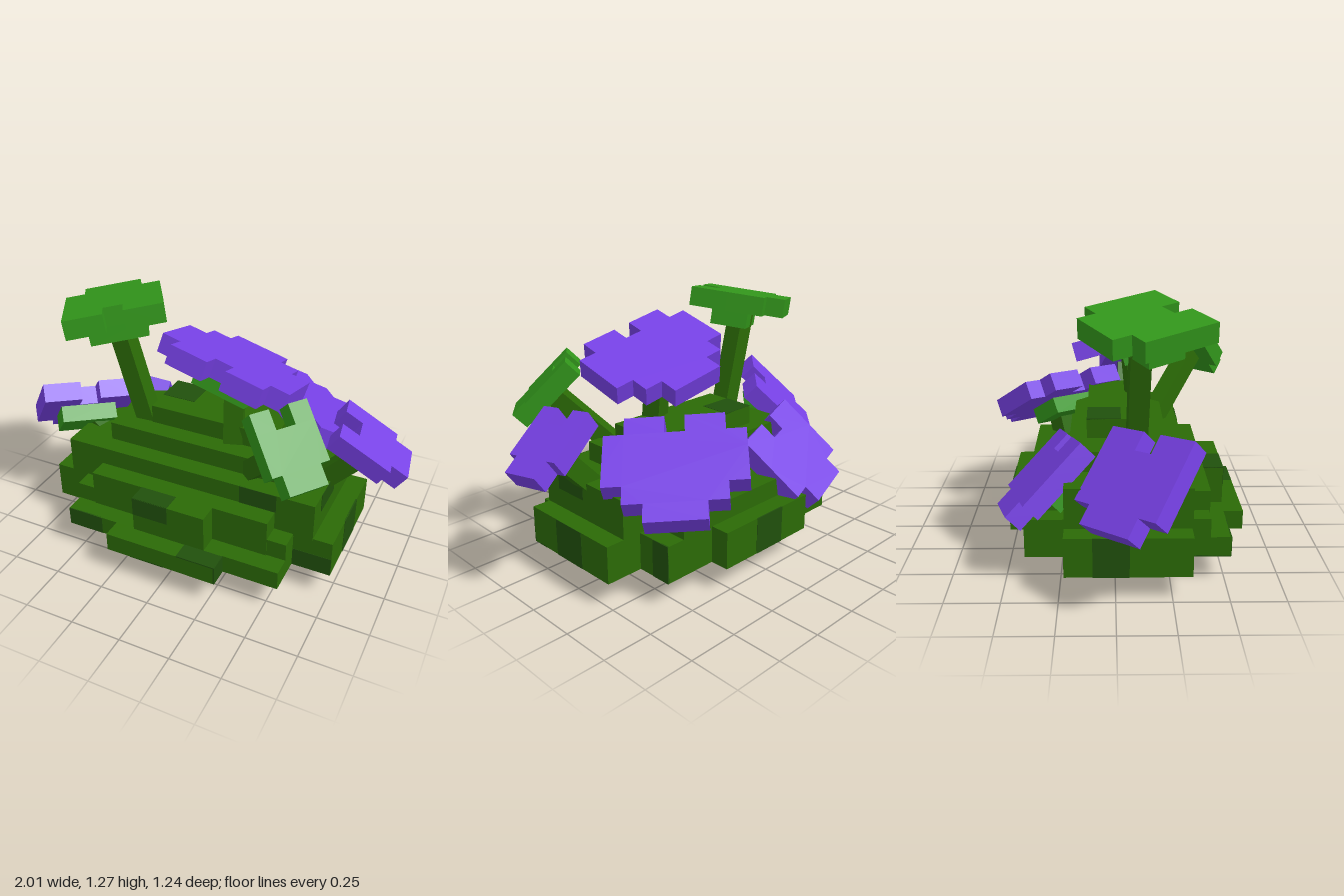
import * as THREE from 'three';

const V = 0.093; // voxel size

export function createModel() {
  const root = new THREE.Group();
  const mat = (name, color) => {
    const m = new THREE.MeshStandardMaterial({ color });
    m.name = name;
    return m;
  };
  const moss = mat('moss green', 0x2b6a06);
  const dark = mat('dark moss', 0x20500c);
  const green = mat('leaf green', 0x32961b);
  const purple = mat('petal purple', 0x7640e4);

  const box = (name, m, [x0, x1, y0, y1, z0, z1], parent) => {
    const mesh = new THREE.Mesh(new THREE.BoxGeometry(x1 - x0, y1 - y0, z1 - z0), m);
    mesh.position.set((x0 + x1) / 2, (y0 + y1) / 2, (z0 + z1) / 2);
    mesh.name = name;
    parent.add(mesh);
  };

  // Stepped mound, built as overlapping blocks
  const mound = new THREE.Group();
  mound.name = 'mound';
  root.add(mound);
  [
    [-0.745, 0.75, 0.115, 0.3, -0.225, 0.335],
    [-0.56, 0.56, 0.115, 0.3, -0.41, 0.43],
    [-0.285, 0.285, 0.115, 0.3, -0.505, 0.43],
    [-0.56, 0.56, 0.115, 0.21, -0.3, 0.525],
    [-0.285, 0.285, 0.115, 0.21, -0.3, 0.62],
    [-0.465, 0.465, 0.2, 0.395, -0.41, 0.435],
    [-0.185, 0.19, 0.2, 0.395, 0, 0.53],
    [-0.65, 0.655, 0.29, 0.488, -0.225, 0.34],
    [-0.46, 0.47, 0.48, 0.583, -0.2, 0.245],
    [-0.275, 0.38, 0.57, 0.677, -0.13, 0.15],
  ].forEach((b) => box('moundBlock', moss, b, mound));

  // Dark patches laid thinly on the mound
  const e = 0.002;
  const patches = new THREE.Group();
  patches.name = 'mossPatches';
  root.add(patches);
  [
    // front
    [-0.185, 0, 0.3, 0.395, 0.525, 0.53 + e],
    [-0.56, -0.37, 0.115, 0.21, 0.52, 0.525 + e],
    [0.285, 0.47, 0.395, 0.488, 0.335, 0.34 + e],
    [0.56, 0.75, 0.115, 0.21, 0.33, 0.335 + e],
    // left side
    [0.745, 0.75 + e, 0.115, 0.3, -0.04, 0.15],
    [0.555, 0.56 + e, 0.115, 0.3, -0.41, -0.31],
    [0.65, 0.655 + e, 0.395, 0.488, 0.06, 0.245],
    [0.28, 0.285 + e, 0.115, 0.21, 0.525, 0.62],
    // right side and back
    [-0.745 - e, -0.74, 0.115, 0.3, -0.1, 0.06],
    [-0.1, 0.08, 0.115, 0.3, -0.505 - e, -0.5],
    // tops
    [-0.185, 0, 0.391, 0.395 + e, 0.435, 0.53],
    [0.09, 0.285, 0.206, 0.21 + e, 0.53, 0.62],
    [-0.275, -0.1, 0.673, 0.677 + e, -0.13, 0.03],
    // underside
    [-0.16, 0.02, 0.115 - e, 0.12, 0.47, 0.62],
    [-0.56, -0.43, 0.115 - e, 0.12, 0.32, 0.525],
    [-0.745, -0.65, 0.115 - e, 0.12, -0.1, 0.06],
    [0.56, 0.75, 0.115 - e, 0.12, 0.24, 0.335],
  ].forEach((b) => box('mossPatch', dark, b, patches));

  // Pad outlines: row widths from the base of the pad to its notched end
  const small = [2, 3, 3, 3];
  const medium = [3, 5, 5, 5, 5];
  const large = [3, 5, 7, 7, 7, 5];

  function padGeometry(rows) {
    const h = (rows.length * V) / 2, right = [], left = [];
    rows.forEach((w, i) => {
      const y0 = i * V - h, x = (w * V) / 2;
      right.push([x, y0], [x, y0 + V]);
      left.unshift([-x, y0 + V], [-x, y0]);
    });
    const notch = [[V / 2, h], [V / 2, h - V], [-V / 2, h - V], [-V / 2, h]];
    const shape = new THREE.Shape([...right, ...notch, ...left].map((p) => new THREE.Vector2(...p)));
    const g = new THREE.ExtrudeGeometry(shape, { depth: V, bevelEnabled: false });
    return g.translate(0, 0, -V);
  }

  // A pad with its under-plate, plus a square stem running into the mound
  function pad(name, m, rows, centre, notchDir, normal, stemEnd) {
    const c = new THREE.Vector3(...centre);
    const n = new THREE.Vector3(...normal).normalize();
    const v = new THREE.Vector3(...notchDir);
    v.addScaledVector(n, -v.dot(n)).normalize();
    const u = new THREE.Vector3().crossVectors(v, n);
    const g = new THREE.Group();
    g.name = name;
    g.position.copy(c);
    g.quaternion.setFromRotationMatrix(new THREE.Matrix4().makeBasis(u, v, n));
    const blade = new THREE.Mesh(padGeometry(rows), m);
    blade.name = 'padBlade';
    g.add(blade);
    if (rows !== small) box('underPlate', green, [-1.5 * V, 1.5 * V, -0.6 * V, 1.4 * V, -1.9 * V, -0.95 * V], g);
    root.add(g);

    const top = c.clone().addScaledVector(n, -0.8 * V);
    const end = new THREE.Vector3(...stemEnd);
    const stem = new THREE.Mesh(new THREE.BoxGeometry(V, V, top.distanceTo(end)), moss);
    stem.name = name + 'Stem';
    stem.position.copy(top).add(end).multiplyScalar(0.5);
    stem.lookAt(top);
    root.add(stem);
  }

  pad('tallGreenPad', green, medium, [-0.485, 1.2, 0.11], [0.52, 0.11, 0.85], [-0.186, 1, -0.017], [-0.3, 0.5, 0.1]);
  pad('backPurplePad', purple, medium, [-0.385, 0.455, -0.365], [0.31, 0.65, 0.69], [-0.04, 0.71, -0.69], [-0.235, 0.03, 0.1]);
  pad('sidePurplePad', purple, medium, [-0.76, 0.57, 0.05], [0.55, 0.7, 0.45], [-0.445, 0.7, -0.545], [-0.5, 0.4, 0.15]);
  pad('frontGreenPad', green, small, [0.58, 0.86, 0.465], [-0.565, 0.71, -0.42], [0.53, 0.68, 0.43], [0.27, 0.47, 0.19]);
  pad('smallPurplePad', purple, small, [0.84, 0.735, 0.075], [-0.8, 0.57, 0.18], [0.56, 0.82, 0], [0.56, 0.42, 0.08]);
  pad('topPurplePad', purple, large, [0.165, 1.01, 0.07], [0, 0.28, 1], [0.25, 1, -0.28], [0.16, 0.5, 0.13]);
  pad('rearPurplePad', purple, large, [0.44, 0.625, -0.33], [-0.72, 0, 0.7], [0.5, 1, -0.38], [0.295, 0.02, -0.18]);

  return root;
}
